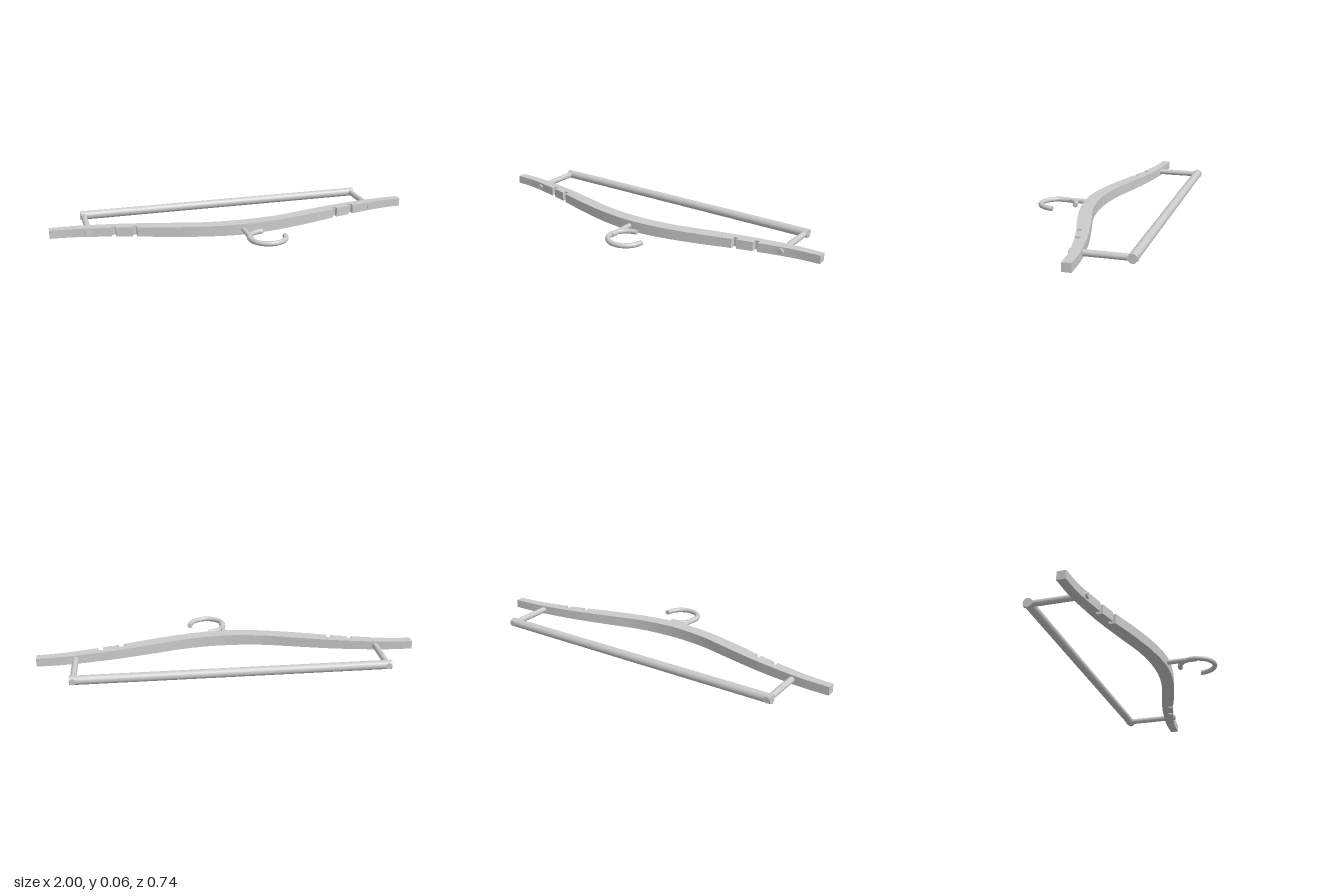
import * as THREE from 'three';
import { toCreasedNormals } from 'three/addons/utils/BufferGeometryUtils.js';

const material = new THREE.MeshStandardMaterial({ color: 0xcccccc });
const MID = 0.03; // height of the middle plane

function addMesh(parent, name, geometry) {
  const mesh = new THREE.Mesh(geometry, material);
  mesh.name = name;
  parent.add(mesh);
  return mesh;
}

// Smooth curve through [x, z] points, evaluated at a given x
function edgeCurve(points) {
  const curve = new THREE.SplineCurve(points.map(([x, z]) => new THREE.Vector2(x, z)));
  const samples = curve.getPoints(200);
  return (x) => {
    const i = Math.max(1, samples.findIndex((p) => p.x >= x - 1e-6));
    const a = samples[i - 1], b = samples[i];
    return a.y + (b.y - a.y) * (x - a.x) / (b.x - a.x);
  };
}

// One shoulder arm: curved outline with two strap notches, thinner towards the tip
function armGeometry() {
  const front = edgeCurve([[-0.2, 0.094], [0, 0.115], [0.2, 0.094], [0.4, 0.047], [0.6, -0.012], [0.8, -0.058], [0.9, -0.074], [1, -0.08]]);
  const back = edgeCurve([[-0.2, 0.024], [0, 0.043], [0.2, 0.024], [0.4, -0.027], [0.6, -0.077], [0.8, -0.112], [0.9, -0.122], [1, -0.126]]);
  const notches = [[0.553, 0.577], [0.66, 0.684]];
  const steps = 32;
  const outline = [];
  for (let i = 0; i <= steps; i++) outline.push(new THREE.Vector2(i / steps, back(i / steps)));
  const frontEdge = [];
  for (let i = 0; i <= steps; i++) {
    const x = i / steps;
    if (!notches.some(([a, b]) => x > a - 0.004 && x < b + 0.004)) frontEdge.push(new THREE.Vector2(x, front(x)));
  }
  for (const [a, b] of notches) {
    const floor = front((a + b) / 2) - 0.027;
    const at = frontEdge.findIndex((p) => p.x > a);
    frontEdge.splice(at, 0,
      new THREE.Vector2(a, front(a)), new THREE.Vector2(a, floor),
      new THREE.Vector2(b, floor), new THREE.Vector2(b, front(b)));
  }
  outline.push(...frontEdge.reverse());

  const geometry = new THREE.ExtrudeGeometry(new THREE.Shape(outline), { depth: 2, bevelEnabled: false });
  geometry.translate(0, 0, -1).rotateX(Math.PI / 2);
  const pos = geometry.attributes.position;
  for (let i = 0; i < pos.count; i++) {
    pos.setY(i, pos.getY(i) * (0.0295 - 0.0075 * pos.getX(i)));
  }
  return toCreasedNormals(geometry, 0.5);
}

export function createModel() {
  const model = new THREE.Group();
  model.name = 'clothesHanger';

  // Shoulder arms: the second is the first turned half round the z axis
  const arm = armGeometry();
  addMesh(model, 'leftArm', arm).position.y = MID;
  const rightArm = addMesh(model, 'rightArm', arm);
  rightArm.position.y = MID;
  rightArm.rotation.z = Math.PI;

  // Trouser bar and the two dowels that carry it
  const bar = addMesh(model, 'trouserBar', new THREE.CylinderGeometry(0.0235, 0.0235, 1.636, 32));
  bar.rotation.z = Math.PI / 2;
  bar.position.set(0, MID, -0.3445);
  const dowel = new THREE.CylinderGeometry(0.016, 0.016, 0.32, 24).rotateX(Math.PI / 2);
  for (const [name, side] of [['leftDowel', 1], ['rightDowel', -1]]) {
    addMesh(model, name, dowel).position.set(side * 0.8, MID, -0.208);
  }

  // Hook: straight shank and a three-quarter ring with capped ends
  const hook = new THREE.Group();
  hook.name = 'hook';
  hook.position.y = MID;
  model.add(hook);
  const wire = 0.0133;
  const shank = addMesh(hook, 'hookShank', new THREE.CylinderGeometry(wire, wire, 0.19, 24));
  shank.rotation.x = Math.PI / 2;
  shank.position.set(-0.004, 0, 0.175);

  const ring = new THREE.Group();
  ring.name = 'hookRing';
  ring.rotation.x = Math.PI / 2;
  ring.position.set(0.083, 0, 0.26);
  hook.add(ring);
  const radius = 0.0945;
  const sweep = Math.PI * 1.5;
  addMesh(ring, 'hookBend', new THREE.TorusGeometry(radius, wire, 20, 64, sweep));
  const cap = new THREE.CircleGeometry(wire, 20);
  const startCap = addMesh(ring, 'hookInnerEnd', cap);
  startCap.position.x = radius;
  startCap.rotation.x = Math.PI / 2;
  const tipCap = addMesh(ring, 'hookTip', cap);
  tipCap.position.y = -radius;
  tipCap.rotation.y = Math.PI / 2;

  return model;
}
